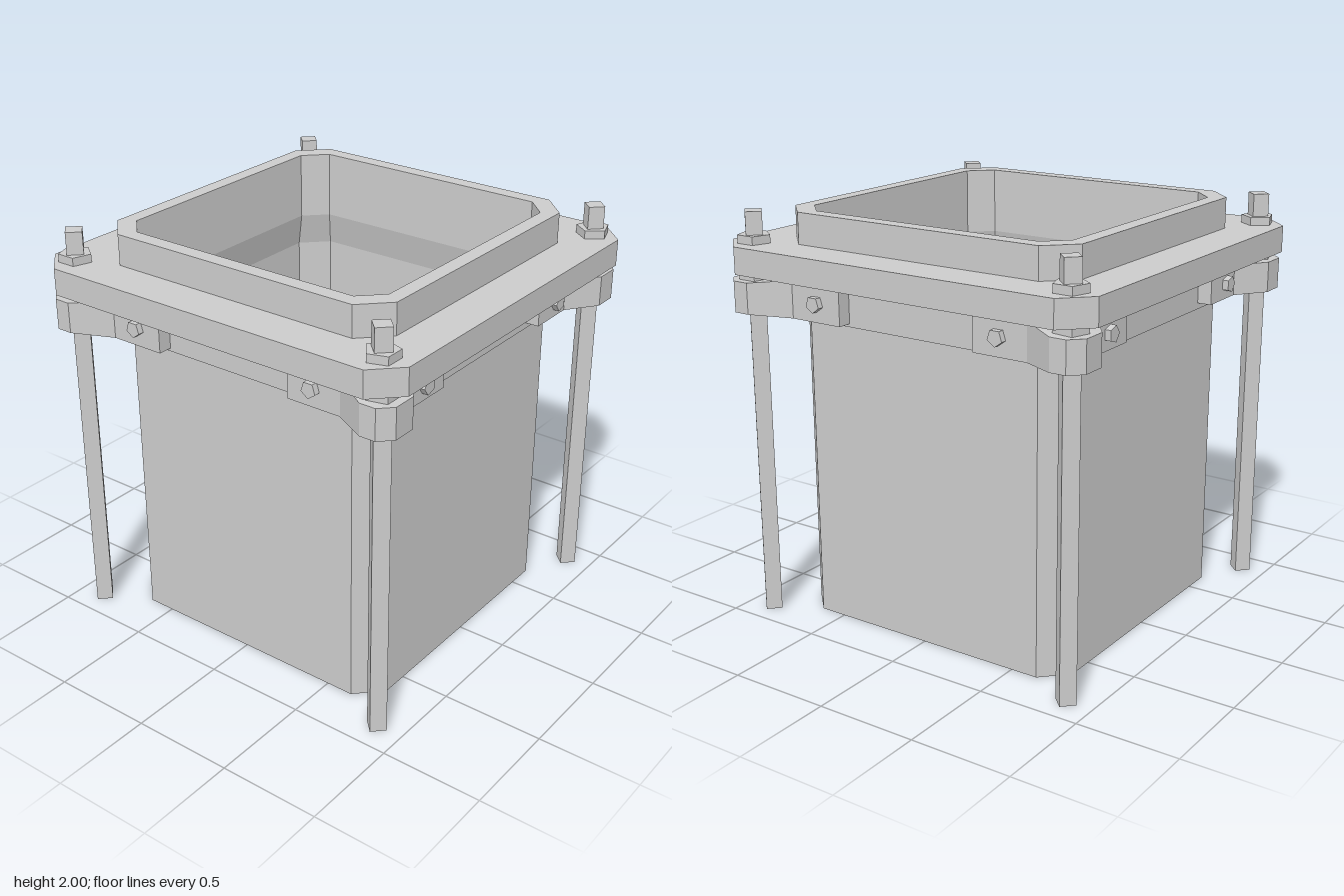
import * as THREE from 'three';

const solid = new THREE.MeshStandardMaterial({ color: 0xcccccc, flatShading: true });
const thin = new THREE.MeshStandardMaterial({ color: 0xcccccc, flatShading: true, side: THREE.DoubleSide });

// Square with cut corners: half width h, straight edges end at c
function cutSquare(h, c, y) {
  return [[h, c], [c, h], [-c, h], [-h, c], [-h, -c], [-c, -h], [c, -h], [h, -c]]
    .map(([x, d]) => [x, y, -d]);
}

// Skin a list of [h, c, y] sections
function loft(sections) {
  const rings = sections.map((s) => cutSquare(...s));
  const pos = [];
  for (let i = 0; i < rings.length - 1; i++) {
    for (let j = 0; j < 8; j++) {
      const k = (j + 1) % 8;
      const [a, b, c, d] = [rings[i][j], rings[i][k], rings[i + 1][k], rings[i + 1][j]];
      pos.push(...a, ...b, ...c, ...a, ...c, ...d);
    }
  }
  const g = new THREE.BufferGeometry();
  g.setAttribute('position', new THREE.Float32BufferAttribute(pos, 3));
  g.computeVertexNormals();
  return g;
}

function prism(radius, y0, y1, sides, turn = 0) {
  return new THREE.CylinderGeometry(radius, radius, y1 - y0, sides)
    .rotateY(turn).translate(0, (y0 + y1) / 2, 0);
}

// L-shaped corner clamp, with the arm along the side slightly taller
function bracketGeometry(sx, sz) {
  const plan = [[0.4, 0.79], [0.4, 0.86], [0.64, 0.86], [0.79, 0.97], [0.91, 0.97], [0.97, 0.91],
    [0.97, 0.83], [0.86, 0.65], [0.86, 0.37], [0.79, 0.37], [0.79, 0.66], [0.66, 0.79]];
  const shape = new THREE.Shape(plan.map(([x, z]) => new THREE.Vector2(sx * x, -sz * z)));
  const g = new THREE.ExtrudeGeometry(shape, { depth: 0.15, bevelEnabled: false });
  g.rotateX(-Math.PI / 2).translate(0, 1.53, 0);
  const p = g.attributes.position;
  for (let i = 0; i < p.count; i++) {
    if (Math.abs(p.getZ(i)) < 0.7) p.setY(i, 1.605 + (p.getY(i) - 1.605) * 1.2);
  }
  g.computeVertexNormals();
  return g;
}

export function createModel() {
  const model = new THREE.Group();
  const add = (name, geometry, material = solid, parent = model) => {
    const mesh = new THREE.Mesh(geometry, material);
    mesh.name = name;
    parent.add(mesh);
    return mesh;
  };

  // Open thin-walled tube
  add('tube', loft([[0.755, 0.635, 0], [0.755, 0.635, 1.5]]), thin);

  // Collar, with its inside flaring out to meet the tube
  add('collar', loft([[0.755, 0.635, 1.5], [0.79, 0.66, 1.5], [0.79, 0.66, 2],
    [0.715, 0.61, 2], [0.715, 0.61, 1.67], [0.755, 0.635, 1.5]]));

  // Flange plate around the collar
  add('flange', loft([[0.79, 0.66, 1.72], [1, 0.87, 1.72], [1, 0.87, 1.85], [0.79, 0.66, 1.85]]));

  // Corner hardware
  for (const sx of [-1, 1]) {
    for (const sz of [-1, 1]) {
      const corner = new THREE.Group();
      corner.name = 'cornerHardware';
      model.add(corner);

      add('bracket', bracketGeometry(sx, sz), solid, corner);

      const rod = new THREE.Group();
      rod.name = 'threadedRod';
      rod.position.set(sx * 0.865, 0, sz * 0.865);
      corner.add(rod);
      add('rodShaft', prism(0.055, 0, 2, 4), solid, rod);
      // One five-sided nut above the flange and one below it
      const turn = sx < 0 && sz > 0 ? Math.PI : -sx * Math.PI / 2;
      add('upperNut', prism(0.08, 1.85, 1.89, 5, turn), solid, rod);
      add('lowerNut', prism(0.08, 1.68, 1.72, 5, turn), solid, rod);

      // Bolts through both arms of the bracket
      const frontBolt = add('frontBolt', prism(0.04, 0.78, 0.89, 5, -Math.PI / 2), solid, corner);
      frontBolt.rotation.x = sz * Math.PI / 2;
      frontBolt.position.set(sx * 0.55, 1.605, 0);
      const sideBolt = add('sideBolt', prism(0.04, 0.78, 0.89, 5, sx * Math.PI / 2), solid, corner);
      sideBolt.rotation.z = -sx * Math.PI / 2;
      sideBolt.position.set(0, 1.605, sz * 0.505);
    }
  }
  return model;
}
